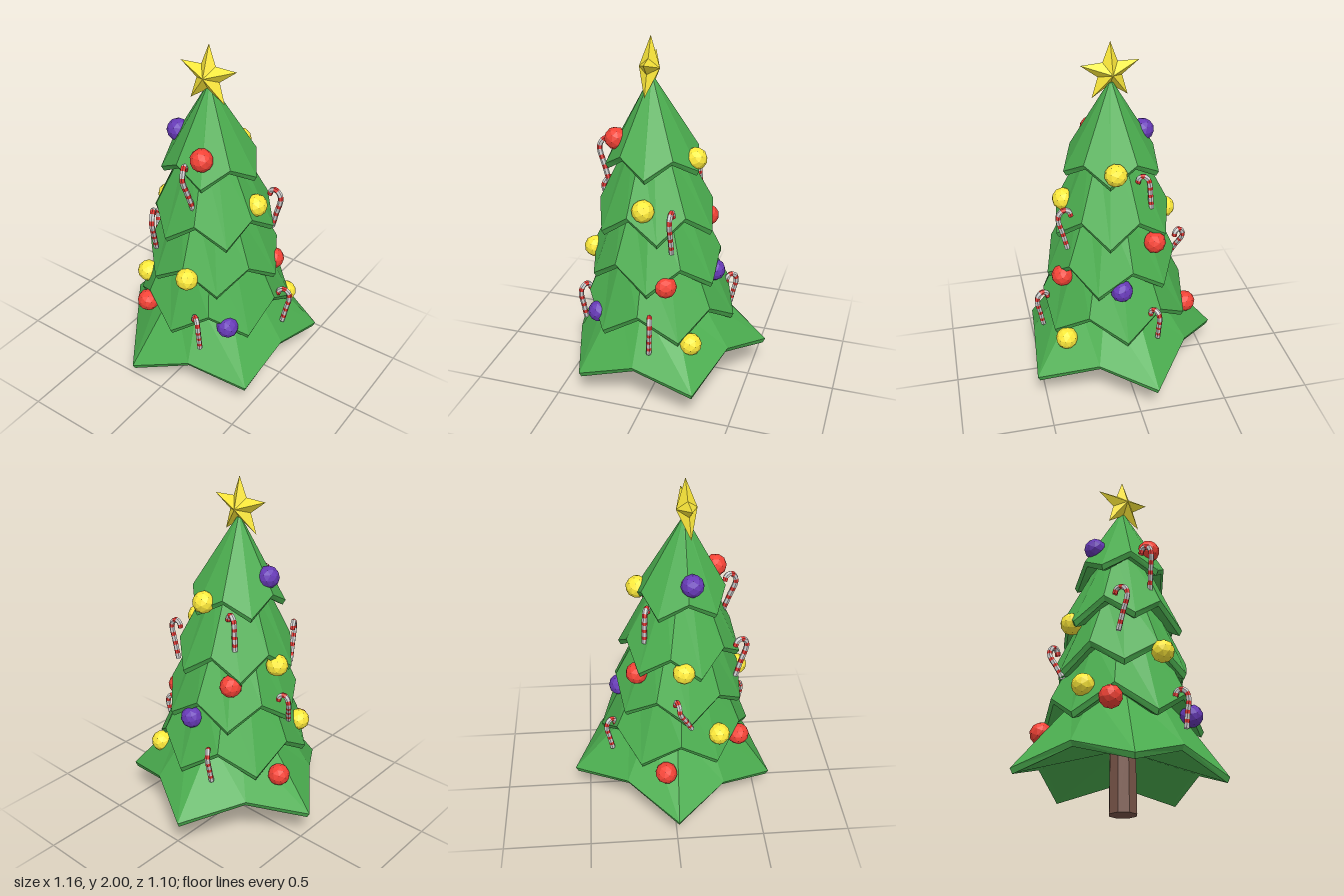
import * as THREE from 'three';

const mat = (color, extra = {}) => new THREE.MeshStandardMaterial({ color, flatShading: true, ...extra });
const V = (x, y, z) => new THREE.Vector3(x, y, z);

const green = mat(0x4caf50), brown = mat(0x795548), yellow = mat(0xffeb3b);
const red = mat(0xf44336), purple = mat(0x673ab7);
const caneWhite = mat(0xcccccc, { side: THREE.DoubleSide });
const caneRed = mat(0xe53935, { side: THREE.DoubleSide });

// The tree leans slightly as it rises
const axisX = (y) => -0.01 - 0.034 * y;
const axisZ = (y) => 0.056 - 0.008 * y;

function addMesh(parent, name, geometry, material) {
  const mesh = new THREE.Mesh(geometry, material);
  mesh.name = name;
  parent.add(mesh);
  return mesh;
}

// Pointed skirt of branches: rings that alternate corner and valley, with a shallow hollow underside.
// Nudges are [radius, degrees] added to single corners.
function branchTier({ n, angle, top, corner, valley, tilt = 0, nudges = [] }) {
  const count = n * 2;
  const ring = (c, v, slope = 0) => Array.from({ length: count }, (_, i) => {
    const [r, y] = i % 2 ? v : c;
    const [dr, da] = (slope && i % 2 === 0 && nudges[i / 2]) || [0, 0];
    const a = THREE.MathUtils.degToRad(angle + da + i * 180 / n);
    const x = axisX(y) + (r + dr) * Math.cos(a);
    return V(x, y + slope * x, axisZ(y) + (r + dr) * Math.sin(a));
  });
  const shift = ([r, y], dr, dy) => [r + dr, y + dy];
  const flat = (r, y) => ring([r, y], [r, y]);
  const rings = [
    flat(0, top[1]),
    flat(...top),
    ring(corner, valley, tilt),
    ring(shift(corner, -0.015, -0.028), shift(valley, -0.015, -0.028), tilt),
    ring(shift(corner, -0.045, -0.015), shift(valley, -0.045, -0.015), tilt),
    flat(0, valley[1] + 0.06),
  ];
  const points = [];
  for (let k = 0; k < rings.length - 1; k++) {
    for (let i = 0; i < count; i++) {
      const j = (i + 1) % count;
      const [a, a2, b, b2] = [rings[k][i], rings[k][j], rings[k + 1][i], rings[k + 1][j]];
      points.push(b, a, a2, b, a2, b2);
    }
  }
  const geometry = new THREE.BufferGeometry().setFromPoints(points);
  geometry.computeVertexNormals();
  return geometry;
}

// Five-pointed star with a raised centre on both faces
function starGeometry(outer, inner, depth) {
  const rim = Array.from({ length: 10 }, (_, i) => {
    const a = Math.PI / 2 + i * Math.PI / 5, r = i % 2 ? inner : outer;
    return V(r * Math.cos(a), r * Math.sin(a), 0);
  });
  const points = [];
  rim.forEach((p, i) => {
    const q = rim[(i + 1) % 10];
    points.push(p, q, V(0, 0, depth), q, p, V(0, 0, -depth));
  });
  const geometry = new THREE.BufferGeometry().setFromPoints(points);
  geometry.computeVertexNormals();
  return geometry;
}

// Striped cane: leaning shaft, then a half-round hook towards the tip
function candyCane(bottom, top, tip) {
  const b = V(...bottom), t = V(...top), e = V(...tip);
  const path = [b, b.clone().lerp(t, 0.5), t];
  const rise = 0.045;
  for (let i = 1; i <= 4; i++) {
    const a = i * Math.PI / 4;
    const p = t.clone().lerp(e, (1 - Math.cos(a)) / 2);
    p.y += rise * Math.sin(a);
    path.push(p);
  }
  const segments = 30, sides = 6;
  const geometry = new THREE.TubeGeometry(new THREE.CatmullRomCurve3(path), segments, 0.015, sides);
  for (let s = 0; s < segments; s++) {
    geometry.addGroup(s * sides * 6, sides * 6, s % 5 >= 3 ? 1 : 0);
  }
  return geometry;
}

export function createModel() {
  const tree = new THREE.Group();
  tree.name = 'christmasTree';

  // Trunk
  const trunk = addMesh(tree, 'trunk', new THREE.CylinderGeometry(0.072, 0.077, 0.4, 8), brown);
  trunk.position.set(-0.026, 0.2, 0.058);

  // Branch tiers, bottom to top: [radius, height] pairs
  const tiers = [
    {
      n: 5, angle: 56.5, top: [0.28, 0.57], corner: [0.6, 0.18], valley: [0.47, 0.285], tilt: 0.05,
      nudges: [[-0.005, 0.5], [-0.035, 0], [-0.005, -1.5], [0.005, -1.5], [0.01, 2.5]],
    },
    { n: 6, angle: 0, top: [0.255, 0.88], corner: [0.435, 0.43], valley: [0.405, 0.57] },
    { n: 6, angle: 23, top: [0.19, 1.17], corner: [0.385, 0.7], valley: [0.355, 0.83] },
    { n: 6, angle: 13, top: [0.13, 1.45], corner: [0.345, 0.98], valley: [0.31, 1.1] },
    { n: 5, angle: 13, top: [0.012, 1.78], corner: [0.27, 1.31], valley: [0.24, 1.4] },
  ];
  tiers.forEach((tier, i) => addMesh(tree, `branchTier${i + 1}`, branchTier(tier), green));

  // Star, its faces turned to the sides
  const star = addMesh(tree, 'star', starGeometry(0.169, 0.07, 0.056), yellow);
  star.position.set(-0.083, 1.832, 0.043);
  star.rotation.y = Math.PI / 2 + 0.1;
  star.rotateX(0.05);

  // Baubles
  const baubles = new THREE.Group();
  baubles.name = 'baubles';
  tree.add(baubles);
  const ball = new THREE.IcosahedronGeometry(0.062, 1);
  [
    [red, -0.25, 1.45, 0.12], [red, 0.2, 0.94, -0.14], [red, 0.1, 0.73, 0.36],
    [red, 0.055, 0.4, -0.37], [red, -0.375, 0.49, -0.17],
    [purple, -0.1, 1.48, -0.14], [purple, -0.3, 0.485, 0.325], [purple, 0.295, 0.71, 0.065],
    [yellow, 0.18, 1.365, 0.07], [yellow, -0.035, 1.14, 0.32], [yellow, -0.05, 1.01, -0.255],
    [yellow, -0.25, 0.58, -0.265], [yellow, -0.39, 0.78, 0.12], [yellow, 0.245, 0.4, 0.37],
  ].forEach(([material, x, y, z], i) => {
    const bauble = addMesh(baubles, `bauble${i + 1}`, ball, material);
    bauble.position.set(x, y, z);
    bauble.rotation.set(i, i * 2, 0);
  });

  // Candy canes: foot, top of shaft, end of hook
  const canes = new THREE.Group();
  canes.name = 'candyCanes';
  tree.add(canes);
  [
    [[-0.297, 1.17, 0.1], [-0.36, 1.37, 0.08], [-0.295, 1.39, 0.05]],
    [[-0.35, 0.87, -0.115], [-0.41, 1.06, -0.09], [-0.34, 1.08, -0.13]],
    [[0.125, 0.92, 0.33], [0.125, 1.11, 0.375], [0.125, 1.12, 0.305]],
    [[0.04, 0.365, 0.475], [0.055, 0.54, 0.505], [0.035, 0.55, 0.44]],
    [[-0.42, 0.365, 0.225], [-0.445, 0.52, 0.23], [-0.405, 0.53, 0.175]],
    [[0.35, 0.4, -0.13], [0.38, 0.55, -0.13], [0.33, 0.55, -0.09]],
    [[0.155, 1.13, -0.13], [0.15, 1.27, -0.12], [0.13, 1.28, -0.06]],
    [[-0.09, 0.67, -0.315], [-0.02, 0.82, -0.365], [0, 0.83, -0.31]],
  ].forEach(([foot, top, tip], i) => {
    addMesh(canes, `candyCane${i + 1}`, candyCane(foot, top, tip), [caneWhite, caneRed]);
  });

  return tree;
}
